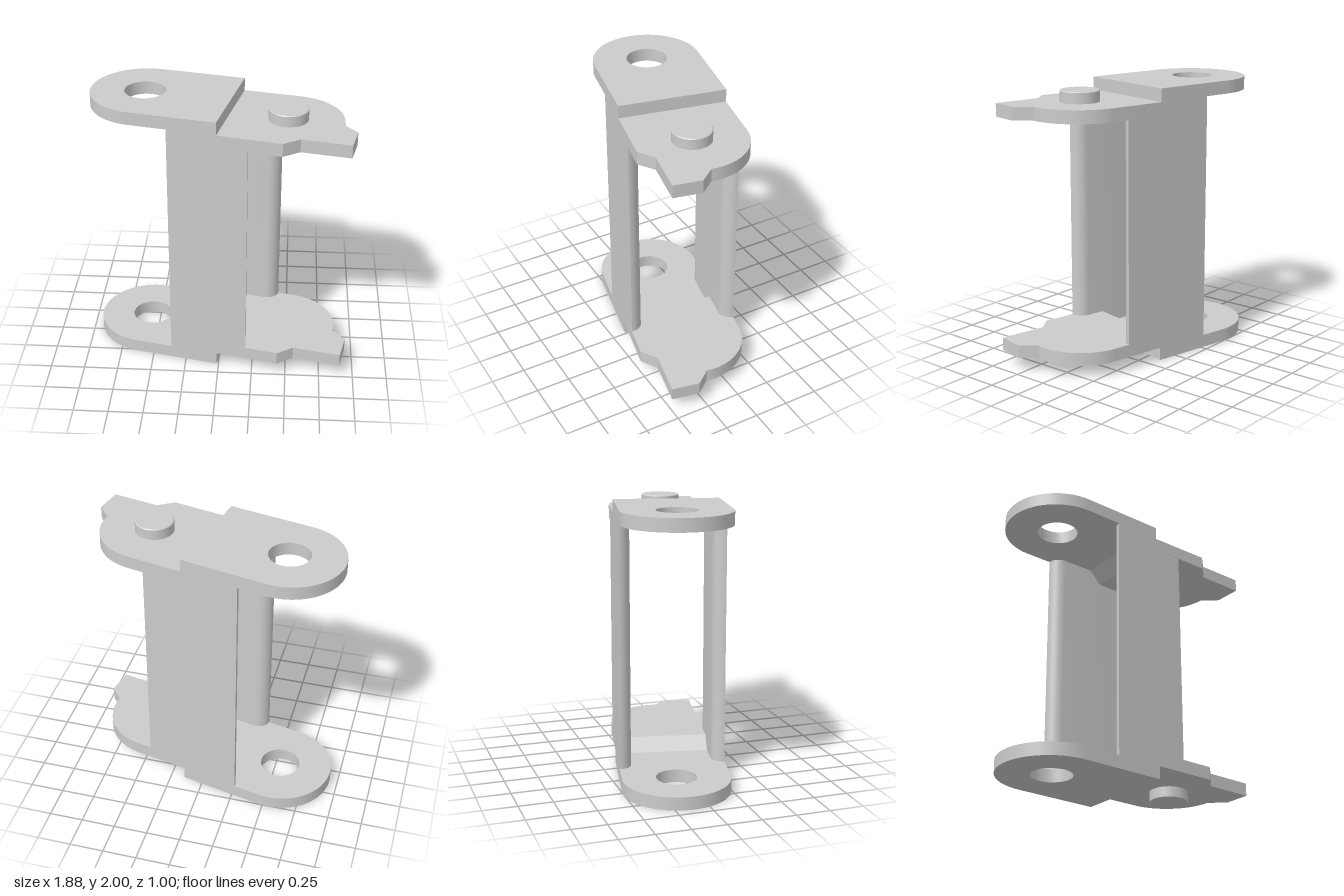
import * as THREE from 'three';
import { toCreasedNormals } from 'three/addons/utils/BufferGeometryUtils.js';

const R = 0.39;        // half width of the link
const T = 0.095;       // sheet thickness
const STEP = 0.067;    // where the plates are joggled inwards
const HOLE_X = -0.561, PIN_X = 0.48;

const material = new THREE.MeshStandardMaterial({ color: 0xcccccc });

function addMesh(parent, name, geometry) {
  const mesh = new THREE.Mesh(geometry, material);
  mesh.name = name;
  parent.add(mesh);
  return mesh;
}

// Extrudes a plan outline (x, z) upwards between two heights
function slab(shape, y0, y1) {
  const g = new THREE.ExtrudeGeometry(shape, { depth: y1 - y0, bevelEnabled: false, curveSegments: 32 });
  g.rotateX(Math.PI / 2).translate(0, y1, 0);
  return toCreasedNormals(g, 0.5);
}

// Outer plate: one round end with a hole
function outerPlateShape() {
  const s = new THREE.Shape();
  s.moveTo(STEP, -R);
  s.lineTo(STEP, R);
  s.lineTo(HOLE_X, R);
  s.absarc(HOLE_X, 0, R, Math.PI / 2, Math.PI * 1.5, false);
  s.closePath();
  const hole = new THREE.Path();
  hole.absarc(HOLE_X, 0, 0.147, 0, Math.PI * 2, true);
  s.holes.push(hole);
  return s;
}

// Inner plate: a quarter-round corner and a stop tab at the other
function innerPlateShape() {
  const s = new THREE.Shape();
  s.moveTo(STEP, -R);
  s.lineTo(PIN_X, -R);
  s.absarc(PIN_X, 0, R, -Math.PI / 2, 0, false);
  for (const [x, z] of [[0.98, 0.092], [0.98, 0.297], [0.629, 0.297], [0.528, 0.395], [STEP, R]]) s.lineTo(x, z);
  s.closePath();
  return s;
}

// Side wall with rounded inner edges; side is +1 front, -1 back
function wallShape(halfLength, side) {
  const t = 0.09, steps = 10, pts = [];
  for (const end of [1, -1]) {
    for (let i = 0; i <= steps; i++) {
      const a = (end > 0 ? i : steps - i) / steps * Math.PI / 2;
      pts.push(new THREE.Vector2(end * (halfLength - t + t * Math.cos(a)), side * (R - t * Math.sin(a))));
    }
  }
  return new THREE.Shape(pts);
}

export function createModel() {
  const model = new THREE.Group();
  model.name = 'chainLink';
  const link = new THREE.Group();
  link.name = 'link';
  link.rotation.y = -0.206;
  model.add(link);

  for (const top of [false, true]) {
    const label = top ? 'upper' : 'lower';
    const at = (y) => (top ? 2 - y : y);
    const span = (a, b) => [Math.min(at(a), at(b)), Math.max(at(a), at(b))];

    addMesh(link, label + 'OuterPlate', slab(outerPlateShape(), ...span(0, T)));
    addMesh(link, label + 'InnerPlate', slab(innerPlateShape(), ...span(T, 2 * T)));

    // Sloped inside of the joggle, between the walls
    const ramp = new THREE.Shape([
      new THREE.Vector2(-0.024, at(T)), new THREE.Vector2(STEP, at(T)), new THREE.Vector2(STEP, at(2 * T)),
    ]);
    const rampGeometry = new THREE.ExtrudeGeometry(ramp, { depth: 2 * R - 0.08, bevelEnabled: false });
    rampGeometry.translate(0, 0, 0.04 - R);
    addMesh(link, label + 'JoggleRamp', rampGeometry);

    // Pin stub with a small bevel on its outer rim
    const profile = [[0, 0], [0.134, 0], [0.14, 0.006], [0.14, 0.09], [0, 0.09]]
      .map(([r, y]) => new THREE.Vector2(r, y));
    const pin = addMesh(link, label + 'PinStub', toCreasedNormals(new THREE.LatheGeometry(profile, 40), 0.5));
    pin.position.set(PIN_X, at(0.013), 0);
    if (top) pin.rotation.x = Math.PI;
  }

  // Side walls joining the plates
  addMesh(link, 'frontWall', slab(wallShape(0.288, 1), T, 2 - T));
  addMesh(link, 'backWall', slab(wallShape(0.36, -1), T, 2 - T));

  return model;
}
